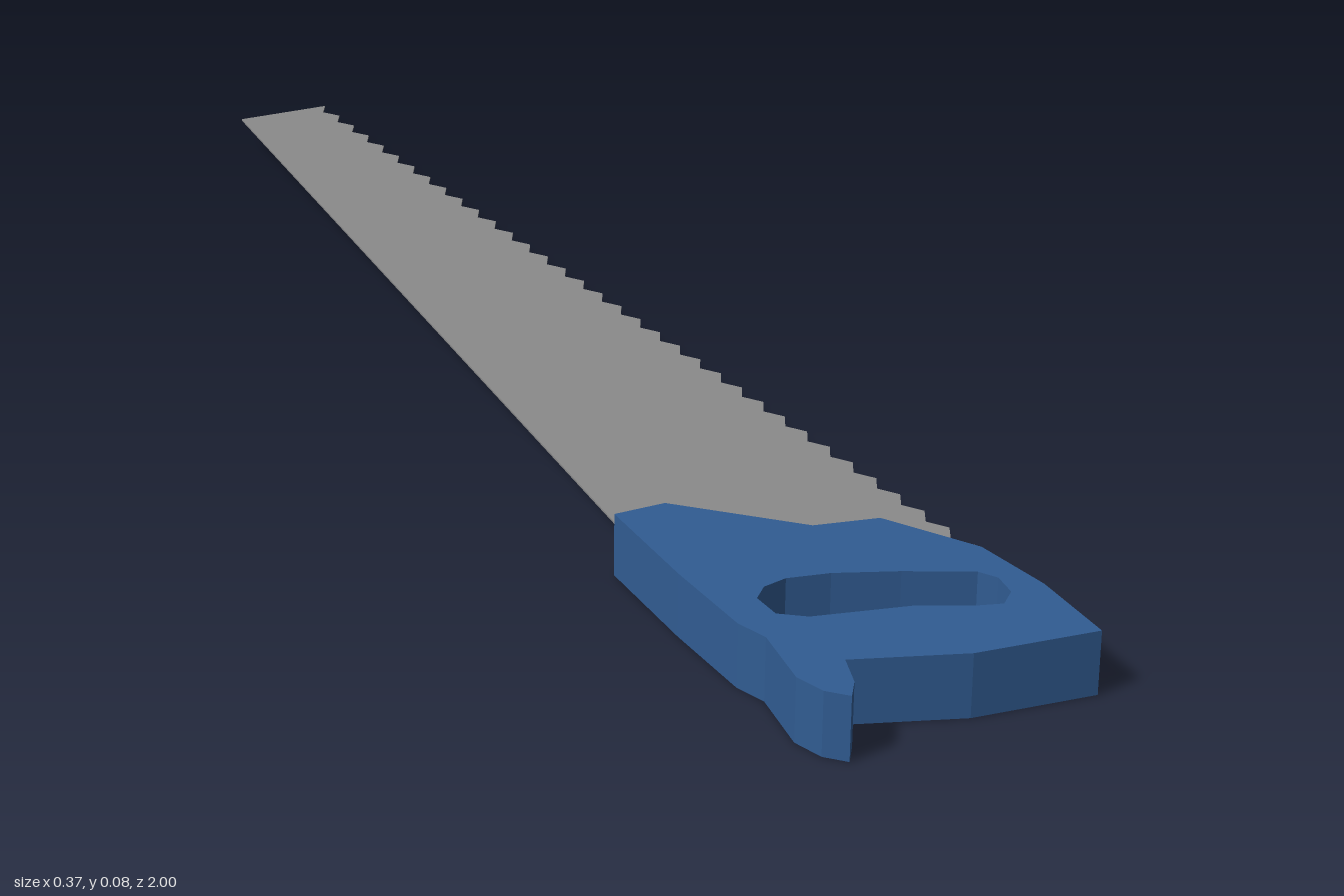
import * as THREE from 'three';

const blue = new THREE.MeshStandardMaterial({ color: 0x315c92 });
blue.name = 'handle blue';
const steel = new THREE.MeshStandardMaterial({ color: 0x8a8a8a });
steel.name = 'blade steel';

// Plan points are [x, z]; the shape lies in XY with y = -z, then is laid flat
const toPoints = (plan) => plan.map(([x, z]) => new THREE.Vector2(x, -z));

function slab(name, shape, bottom, thickness, material) {
  const geometry = new THREE.ExtrudeGeometry(shape, { depth: thickness, bevelEnabled: false });
  geometry.rotateX(-Math.PI / 2);
  geometry.translate(0, bottom, 0);
  const mesh = new THREE.Mesh(geometry, material);
  mesh.name = name;
  return mesh;
}

function makeHandle() {
  const outline = new THREE.Shape(toPoints([
    [-0.178, 0.517], [-0.114, 0.517], [0.005, 0.641], [0.082, 0.658],
    [0.143, 0.77], [0.154, 0.876], [0.147, 0.994], [0.0, 0.977],
    [-0.126, 0.93], [-0.142, 0.975], [-0.16, 1.0], [-0.18, 0.978],
    [-0.19, 0.94], [-0.174, 0.85], [-0.185, 0.81], [-0.185, 0.68],
  ]));
  // Grip opening, wound opposite to the outline so its walls face inward
  outline.holes.push(new THREE.Path(toPoints([
    [-0.138, 0.808], [-0.11, 0.83], [0.0, 0.857], [0.058, 0.886], [0.09, 0.896],
    [0.112, 0.876], [0.118, 0.842], [0.106, 0.82], [0.033, 0.782],
    [-0.037, 0.752], [-0.087, 0.741], [-0.118, 0.748], [-0.138, 0.768],
  ])));
  return slab('handle', outline, 0, 0.076, blue);
}

function makeBlade() {
  // Back edge, with the rear end hidden inside the handle
  const plan = [
    [0.12, 0.77], [0.07, 0.7], [-0.04, 0.68], [-0.163, 0.58], [-0.01, -1],
  ];
  // Toothed edge from the tip back to the handle
  const teeth = 36, pitch = 0.05;
  for (let i = 0; i < teeth; i++) {
    const z = -1 + i * pitch;
    const edge = 0.124 + (0.059 * i) / (teeth - 1);
    plan.push([edge, z]);
    if (i < teeth - 1) plan.push([edge - 0.014, z + pitch * 0.5]);
  }
  plan.push([0.172, 0.77]);
  return slab('blade', new THREE.Shape(toPoints(plan)), 0.037, 0.0025, steel);
}

export function createModel() {
  const saw = new THREE.Group();
  saw.name = 'handSaw';
  saw.add(makeHandle(), makeBlade());
  return saw;
}
